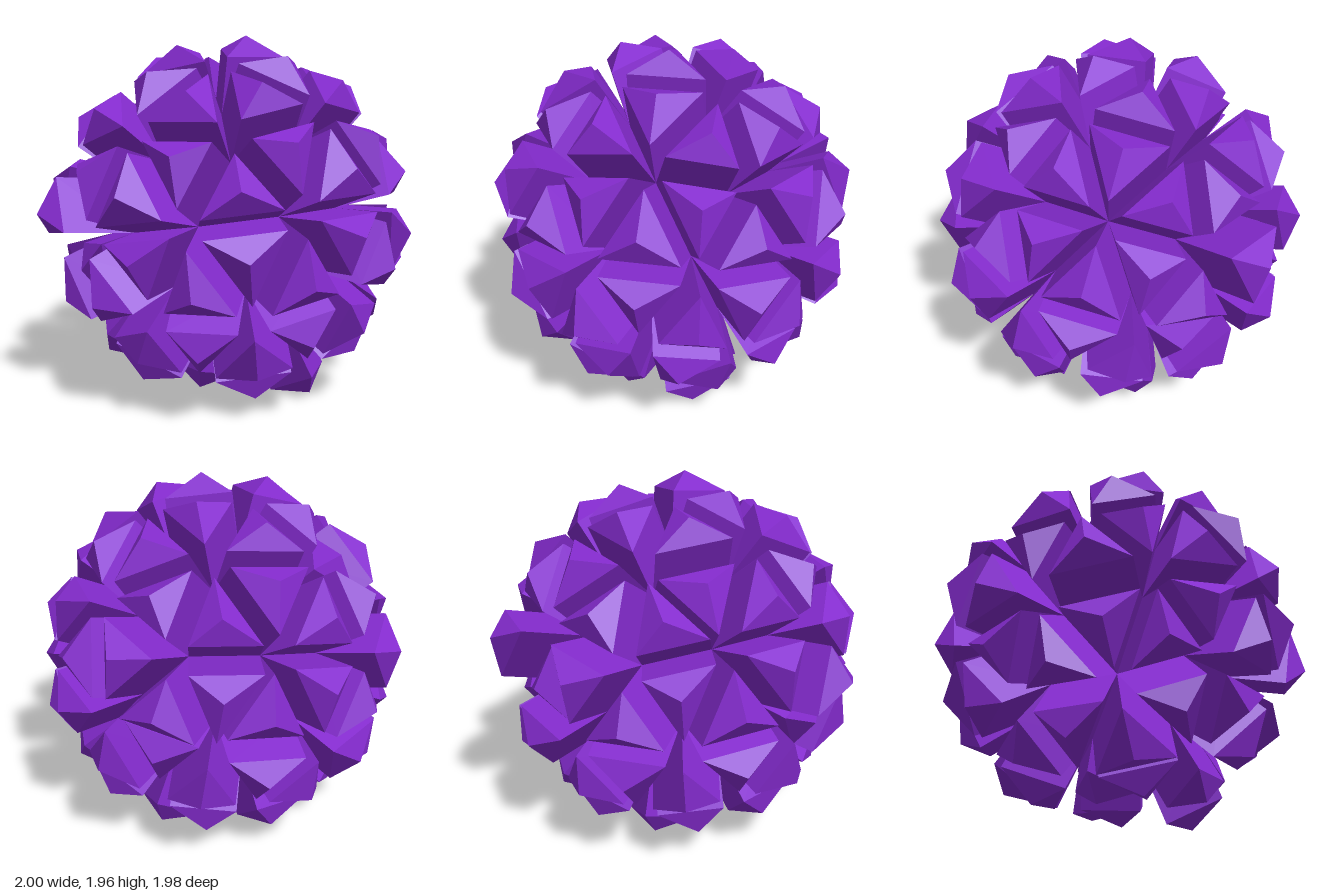
import * as THREE from 'three';

const CORE = 0.65;      // radius where the slits meet
const TIP = 1.01;       // radius of a normal lobe tip
const CAP = 0.1;        // height of the three-sided cap
const DEG = Math.PI / 180;

// Lobes of a different length: polar angle, azimuth, tip radius
const ODD_LOBES = [
  [162, 108, 1.072], [162, -108, 0.89], [162, -36, 0.955], [162, 180, 0.975],
  [81, -36, 1.08], [101, -36, 0.89], [110, -54, 1.025], [99, 0, 0.97],
  [37, -72, 0.89], [70, -90, 1.027], [79, -144, 0.93], [70, 18, 1.025],
  [101, 180, 0.92], [70, -162, 1.08], [110, 54, 1.045], [18, 72, 1.02],
].map(([polar, turn, tip]) => ({
  dir: new THREE.Vector3().setFromSphericalCoords(1, polar * DEG, turn * DEG), tip,
}));

// Twelve corners of an icosahedron standing on a corner
function icosaCorners() {
  const polar = Math.atan(2);
  const list = [new THREE.Vector3(0, 1, 0), new THREE.Vector3(0, -1, 0)];
  for (let i = 0; i < 5; i++) {
    list.push(new THREE.Vector3().setFromSphericalCoords(1, polar, (36 + 72 * i) * DEG));
    list.push(new THREE.Vector3().setFromSphericalCoords(1, Math.PI - polar, 72 * i * DEG));
  }
  return list;
}

// Each icosahedron face split in four, all corners on the unit sphere
function ballTriangles() {
  const v = icosaCorners(), out = [];
  const near = (a, b) => a.distanceTo(b) < 1.2;
  const mid = (a, b) => a.clone().add(b).normalize();
  for (let i = 0; i < 12; i++)
    for (let j = i + 1; j < 12; j++)
      for (let k = j + 1; k < 12; k++) {
        const a = v[i], b = v[j], c = v[k];
        if (!near(a, b) || !near(b, c) || !near(a, c)) continue;
        const ab = mid(a, b), bc = mid(b, c), ca = mid(c, a);
        out.push([a, ab, ca], [b, bc, ab], [c, ca, bc], [ab, bc, ca]);
      }
  return out;
}

// Triangular prism standing on one facet, closed by a low pyramid
function lobeGeometry(tri, tip) {
  let [a, b, c] = tri.map((p) => p.clone().multiplyScalar(CORE));
  const normal = b.clone().sub(a).cross(c.clone().sub(a)).normalize();
  if (normal.dot(a) < 0) {
    [b, c] = [c, b];
    normal.negate();
  }
  const base = [a, b, c];
  const rise = tip - CAP - normal.dot(a);
  const top = base.map((p) => p.clone().addScaledVector(normal, rise));
  const apex = new THREE.Vector3().add(a).add(b).add(c).divideScalar(3)
    .addScaledVector(normal, rise + CAP);
  const pts = [];
  for (let i = 0; i < 3; i++) {
    const j = (i + 1) % 3;
    pts.push(base[i], base[j], top[j], base[i], top[j], top[i]); // side wall
    pts.push(top[i], top[j], apex);                              // cap facet
  }
  const geo = new THREE.BufferGeometry().setFromPoints(pts);
  geo.computeVertexNormals();
  return geo;
}

export function createModel() {
  const model = new THREE.Group();
  model.name = 'crystalBall';
  const material = new THREE.MeshStandardMaterial({ color: 0x842bce, flatShading: true });

  const ball = new THREE.Group();
  ball.name = 'lobes';
  ballTriangles().forEach((tri, i) => {
    const dir = tri[0].clone().add(tri[1]).add(tri[2]).normalize();
    const odd = ODD_LOBES.find((s) => s.dir.dot(dir) > 0.99);
    const lobe = new THREE.Mesh(lobeGeometry(tri, odd ? odd.tip : TIP), material);
    lobe.name = `lobe${i + 1}`;
    ball.add(lobe);
  });

  // Tilt the ball
  const up = new THREE.Vector3(-0.173, 0.983, -0.073).normalize();
  const side = up.clone().cross(new THREE.Vector3(-0.077, 0.06, 0.995)).normalize();
  const front = side.clone().cross(up);
  ball.quaternion.setFromRotationMatrix(new THREE.Matrix4().makeBasis(side, up, front));
  ball.position.set(0.005, 0, 0.022);
  model.add(ball);

  // Stand on the ground
  model.updateMatrixWorld(true);
  ball.position.y = -new THREE.Box3().setFromObject(model, true).min.y;
  return model;
}
